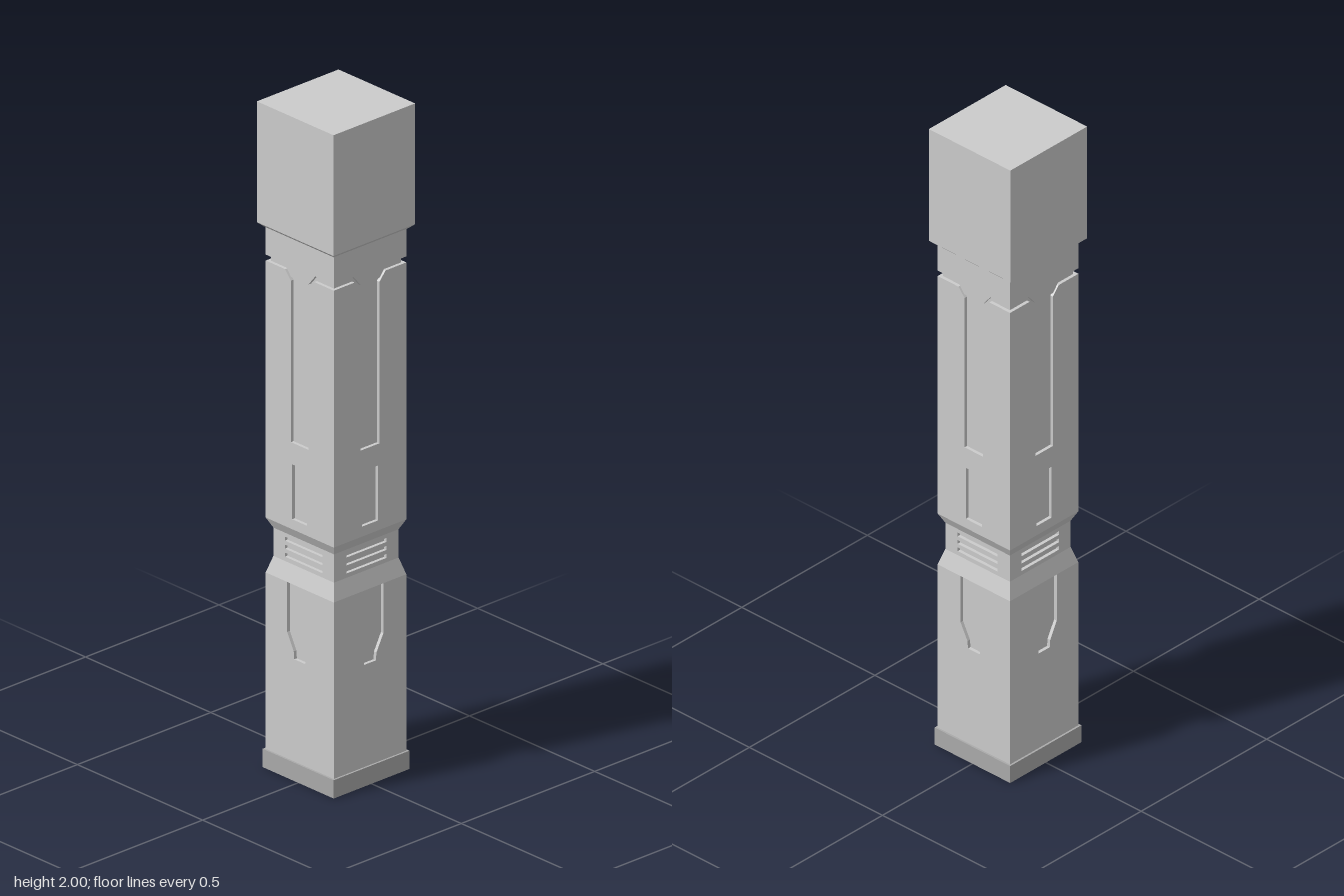
import * as THREE from 'three';

const grey = new THREE.MeshStandardMaterial({ color: 0xcccccc, flatShading: true });
const pale = new THREE.MeshStandardMaterial({ color: 0xeeeeee, flatShading: true });
const dark = new THREE.MeshStandardMaterial({ color: 0xaaaaaa, flatShading: true });

const B = 0.136;   // half width of the shaft
const N = 0.121;   // half width of the waist
const D = 0.01;    // depth of the recesses

// Square block between two heights, optionally tapered
function block(name, y0, y1, half0, half1 = half0, material = grey) {
  const g = new THREE.CylinderGeometry(half1 * Math.SQRT2, half0 * Math.SQRT2, y1 - y0, 4);
  g.rotateY(Math.PI / 4);
  g.translate(0, (y0 + y1) / 2, 0);
  const mesh = new THREE.Mesh(g, material);
  mesh.name = name;
  return mesh;
}

const vectors = (pts) => pts.map(([x, y]) => new THREE.Vector2(x, y));
const rect = (w, y0, y1) => [[-w, y0], [w, y0], [w, y1], [-w, y1]];
// Closed outline from its right half, listed bottom to top
const mirrored = (half) => [...half, ...half.map(([x, y]) => [-x, y]).reverse()];

// Cladding on all four sides; side plates fit between the front and back ones
function cladding(name, half, outline, holes = []) {
  const group = new THREE.Group();
  group.name = name;
  for (let i = 0; i < 4; i++) {
    const shape = new THREE.Shape(vectors(outline(i % 2 ? half - D : half)));
    holes.forEach((h) => shape.holes.push(new THREE.Path(vectors(h))));
    const g = new THREE.ExtrudeGeometry(shape, { depth: D, bevelEnabled: false });
    g.translate(0, 0, half - D);
    g.rotateY(i * Math.PI / 2);
    const plate = new THREE.Mesh(g, grey);
    plate.name = name + 'Plate';
    group.add(plate);
  }
  return group;
}

export function createModel() {
  const pillar = new THREE.Group();
  pillar.name = 'pillar';

  // Foot and capital
  pillar.add(block('foot', 0, 0.055, 0.142, 0.142, dark));
  pillar.add(block('capitalBevel', 1.625, 1.637, 0.14, 0.153));
  pillar.add(block('capital', 1.637, 2, 0.153));

  // Pale cores seen at the bottom of the recesses
  pillar.add(block('lowerCore', 0.05, 0.585, B - D, B - D, pale));
  pillar.add(block('upperCore', 0.75, 1.63, B - D, B - D, pale));

  // Lower shaft with a pointed recess open at its top
  pillar.add(cladding('lowerShaft', B, (w) => mirrored([
    [w, 0.055], [w, 0.585], [0.05, 0.585], [0.05, 0.435], [0.024, 0.385], [0.022, 0.362],
  ])));

  // Waist with three vents on each side
  pillar.add(block('waistLowerSlope', 0.585, 0.635, B, N));
  pillar.add(block('waistCore', 0.63, 0.725, N - D));
  const vents = [0.654, 0.678, 0.702].map((y) => rect(0.075, y - 0.006, y + 0.006));
  pillar.add(cladding('waist', N, (w) => rect(w, 0.635, 0.72), vents));
  pillar.add(block('waistUpperSlope', 0.72, 0.75, N, B));

  // Upper shaft with a window and a long slot running into the groove
  pillar.add(cladding('upperShaft', B, (w) => mirrored([
    [w, 0.75], [w, 1.522], [0.058, 1.522], [0.035, 1.495], [0.035, 1.01],
  ]), [rect(0.03, 0.78, 0.945)]));

  // Collar whose lower edge dips at the middle of each side
  pillar.add(cladding('collar', B, (w) => mirrored([
    [0.035, 1.507], [0.062, 1.54], [w, 1.54], [w, 1.63],
  ])));

  return pillar;
}
